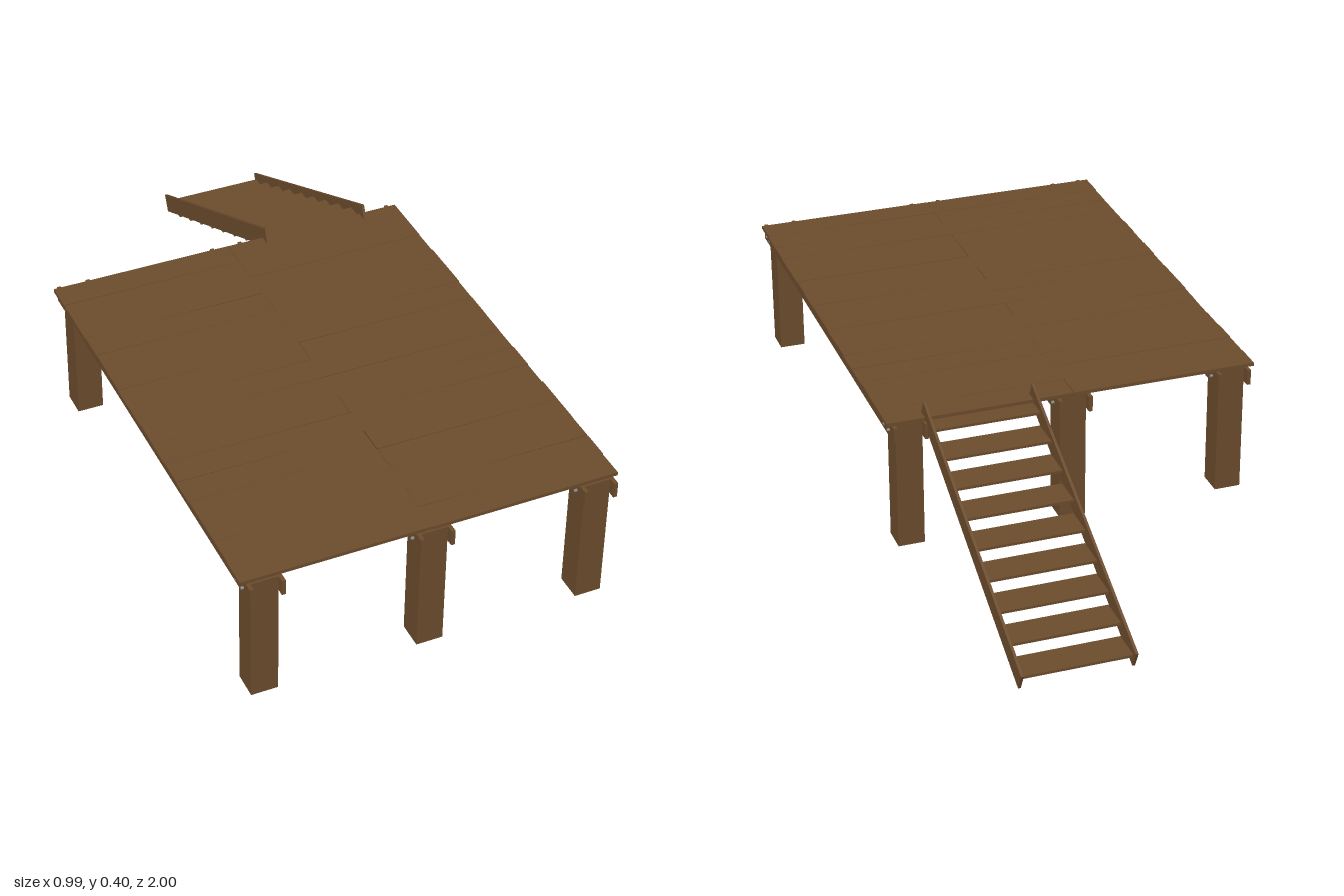
import * as THREE from 'three';

const wood = new THREE.MeshStandardMaterial({ color: 0x6b4b2d, flatShading: true });
const steel = new THREE.MeshStandardMaterial({ color: 0x8a8a86 });

function box(parent, name, size, pos) {
  const mesh = new THREE.Mesh(new THREE.BoxGeometry(...size), wood);
  mesh.name = name;
  mesh.position.set(...pos);
  parent.add(mesh);
  return mesh;
}

function group(parent, name) {
  const g = new THREE.Group();
  g.name = name;
  parent.add(g);
  return g;
}

// Small seeded generator returning values in -1..1
function seeded(seed) {
  return () => {
    seed = (seed * 16807) % 2147483647;
    return (seed / 2147483647) * 2 - 1;
  };
}

export function createModel() {
  const model = new THREE.Group();
  model.name = 'raisedDeck';

  // Support rows: two posts clamped between a pair of long beams
  const frame = group(model, 'supportFrame');
  const boltGeometry = new THREE.CylinderGeometry(0.004, 0.004, 0.104, 8).rotateZ(Math.PI / 2);
  for (const x of [-0.435, 0, 0.435]) {
    for (const z of [0.945, -0.23]) {
      box(frame, 'post', [0.07, 0.353, 0.07], [x, 0.1765, z]);
      for (const dz of [-0.017, 0.017]) {
        const bolt = new THREE.Mesh(boltGeometry, steel);
        bolt.name = 'bolt';
        bolt.position.set(x, 0.332, z + dz);
        frame.add(bolt);
      }
    }
    for (const side of [-1, 1]) {
      box(frame, 'beam', [0.01, 0.042, 1.288], [x + side * 0.04, 0.332, 0.356]);
    }
  }

  // Deck boards: two columns, each board laid slightly unevenly
  const deck = group(model, 'deckBoards');
  const rand = seeded(4721);
  const pitch = 1.245 / 16;
  for (const side of [-1, 1]) {
    for (let i = 0; i < 16; i++) {
      const z = -0.27 + (i + 0.5) * pitch;
      const board = box(deck, 'deckBoard', [0.494, 0.009, pitch - 0.0006],
        [side * 0.247 + rand() * 0.0015, 0.3575 + rand() * 0.0005, z]);
      board.rotation.y = rand() * 0.004;
    }
  }

  // Stairs: two sloping side boards with level treads between them
  const stairs = group(model, 'stairs');
  for (const x of [0.104, 0.39]) {
    const stringer = box(stairs, 'stairStringer', [0.007, 0.05, 0.82], [x, 0.2015, -0.615]);
    stringer.rotation.x = -0.44;
  }
  for (let i = 0; i < 9; i++) {
    box(stairs, 'stairTread', [0.28, 0.007, 0.085], [0.247, 0.035 + i * 0.0391, -0.9375 + i * 0.0825]);
  }

  return model;
}
